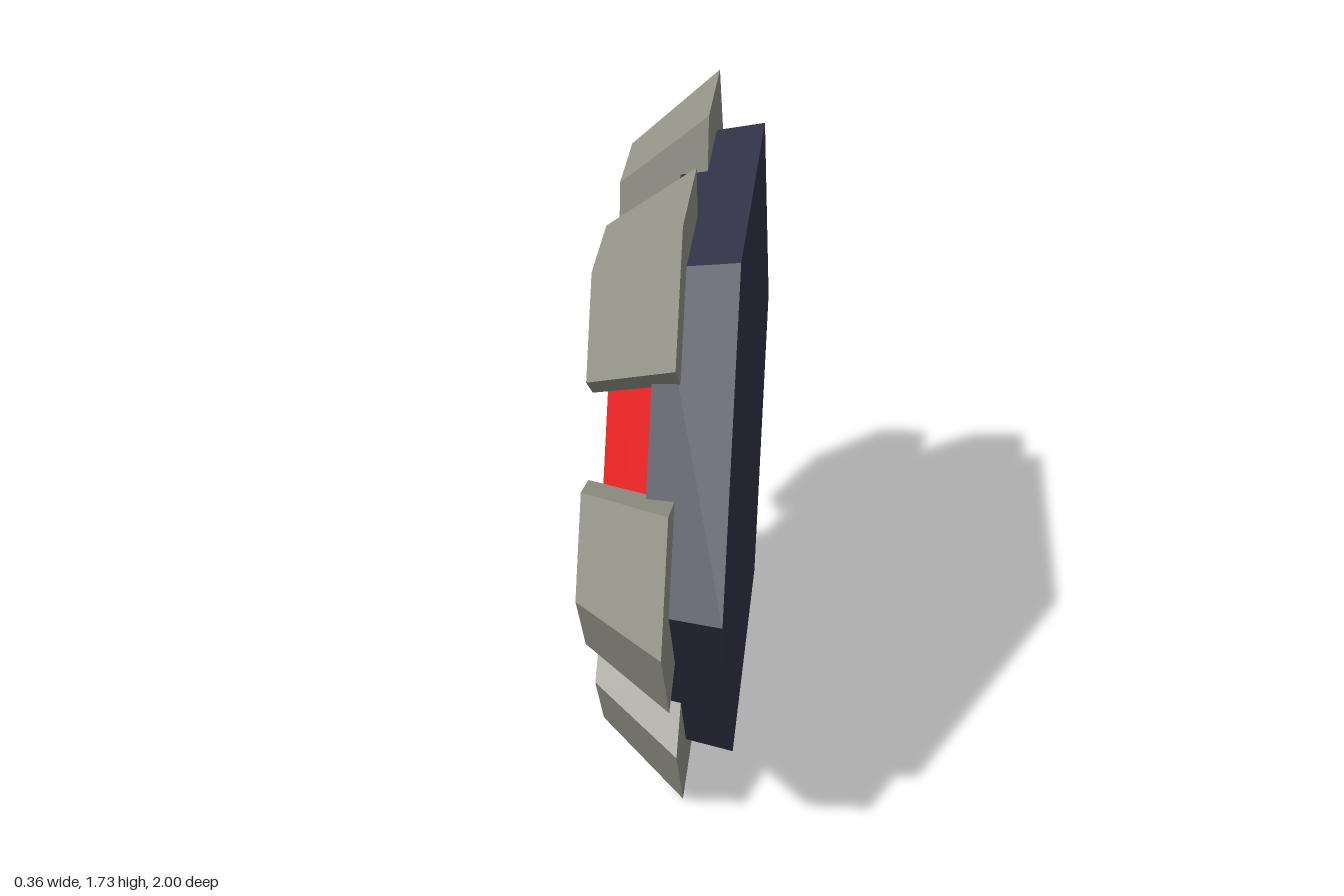
import * as THREE from 'three';

const CY = Math.sqrt(3) / 2; // height of the centre axis

const paint = (name, color) => {
  const m = new THREE.MeshStandardMaterial({ color });
  m.name = name;
  return m;
};

// Six-sided frustum along x, from x0 (radius r0) to x1 (radius r1)
function hexFrustum(name, x0, r0, x1, r1, material) {
  const g = new THREE.CylinderGeometry(r1, r0, x1 - x0, 6).toNonIndexed();
  g.rotateZ(-Math.PI / 2);
  g.computeVertexNormals();
  const mesh = new THREE.Mesh(g, material);
  mesh.name = name;
  mesh.position.set((x0 + x1) / 2, CY, 0);
  return mesh;
}

// Corner bracket: a section swept round one hexagon corner, a third of each edge
function bracketGeometry() {
  const section = [[0.05, 1], [-0.18, 0.79], [-0.18, 0.645], [0.05, 0.83]]; // x, radius
  const stations = [[5 / 6, -CY / 3], [1, 0], [5 / 6, CY / 3]]; // z, y at radius 1
  const pos = [];
  const put = (i, j) => {
    const [x, r] = section[j % 4];
    pos.push(x, stations[i][1] * r, stations[i][0] * r);
  };
  const quad = (...c) => [0, 1, 2, 0, 2, 3].forEach((k) => put(...c[k]));
  for (let i = 0; i < 2; i++) {
    for (let j = 0; j < 4; j++) quad([i, j], [i + 1, j], [i + 1, j + 1], [i, j + 1]);
  }
  quad([0, 0], [0, 1], [0, 2], [0, 3]);
  quad([2, 3], [2, 2], [2, 1], [2, 0]);
  const g = new THREE.BufferGeometry();
  g.setAttribute('position', new THREE.Float32BufferAttribute(pos, 3));
  g.computeVertexNormals();
  return g;
}

export function createModel() {
  const navy = paint('navy', 0x333349);
  const red = paint('red', 0xe61111);
  const white = paint('white', 0xf0f0f0);
  const grey = paint('stone grey', 0x949488);

  const model = new THREE.Group();
  model.name = 'hexagonalTarget';

  // Backing plate and raised target block
  model.add(hexFrustum('backPlate', -0.02, 0.822, 0.18, 0.86, navy));
  model.add(hexFrustum('targetBlock', -0.14, 0.667, -0.02, 0.767, red));

  // Alternating rings as thin stacked plates on the target face
  [0.5, 0.375, 0.25, 0.125].forEach((r, k) => {
    const front = -0.14 - 0.002 * (k + 1);
    model.add(hexFrustum('targetRing' + (k + 1), front, r, front + 0.002, r, k % 2 ? red : white));
  });

  // Six corner brackets
  const g = bracketGeometry();
  for (let k = 0; k < 6; k++) {
    const bracket = new THREE.Mesh(g, grey);
    bracket.name = 'cornerBracket' + (k + 1);
    bracket.position.y = CY;
    bracket.rotation.x = (k * Math.PI) / 3;
    model.add(bracket);
  }
  return model;
}
